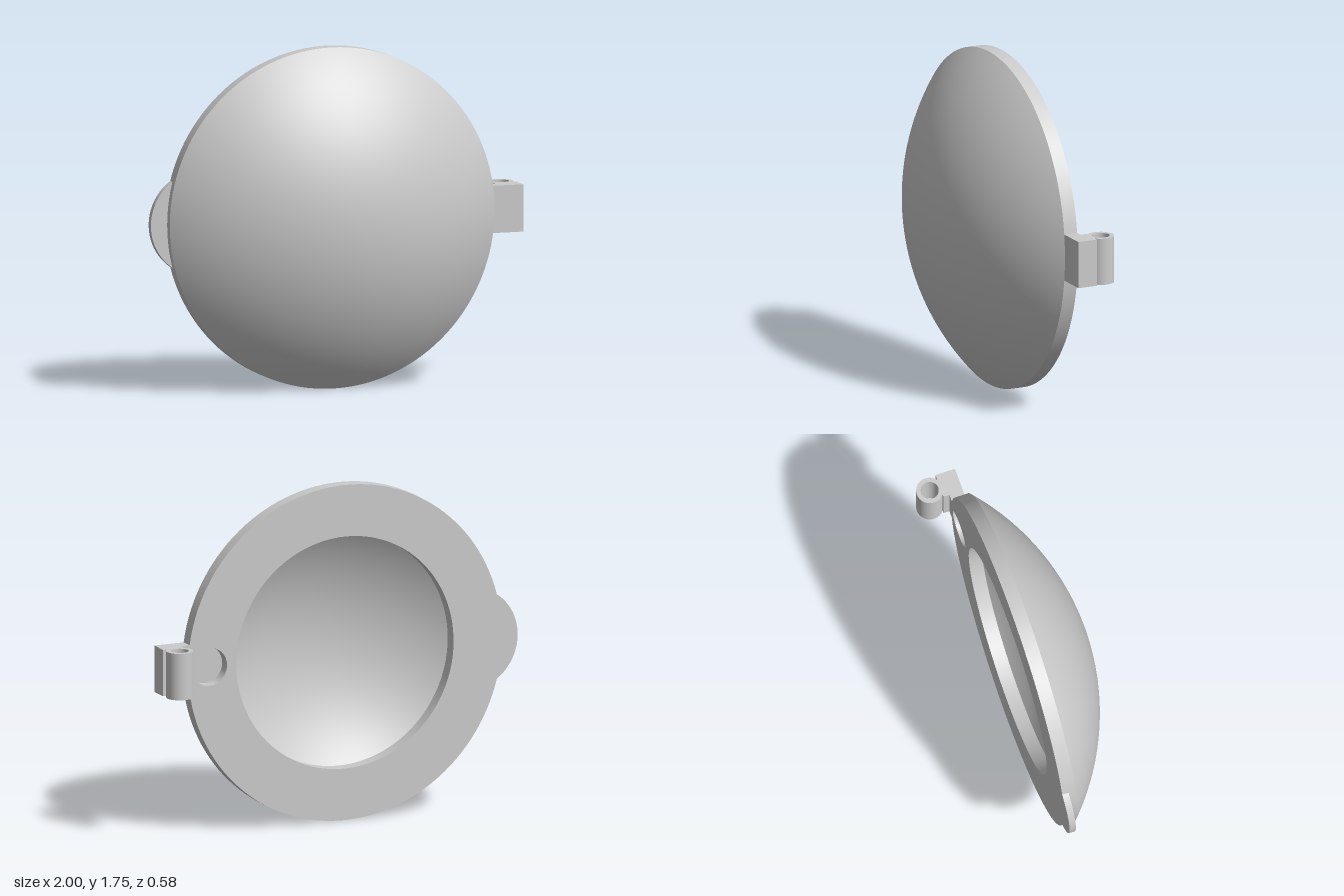
import * as THREE from 'three';

const CX = -0.035, CY = 0.877;          // disc centre
const R = 0.877, BOWL_R = 0.607;        // outer and cavity radius
const BACK = -0.135, RIM = -0.062;      // z of back face and rim front edge
const SPHERE_Z = -0.989;                // shared centre of both domes
const PIN = { x: 0.757, r: 0.098, floor: -0.075 };
const HINGE_Y = 0.879, HINGE_H = 0.243;

const material = new THREE.MeshStandardMaterial({ color: 0xcccccc });

function add(parent, name, geometry) {
  const mesh = new THREE.Mesh(geometry, material);
  mesh.name = name;
  parent.add(mesh);
  return mesh;
}

// Surface of revolution about the z axis; points are [radius, z]
function revolve(points, segments = 128) {
  const pts = points.map(([r, z]) => new THREE.Vector2(r, z));
  return new THREE.LatheGeometry(pts, segments).rotateX(Math.PI / 2);
}

// Spherical profile from the given edge radius to the axis
function domeProfile(edgeR, edgeZ, steps = 32) {
  const h = edgeZ - SPHERE_Z, radius = Math.hypot(edgeR, h);
  const start = Math.atan2(edgeR, h);
  return Array.from({ length: steps + 1 }, (_, i) => {
    const a = start * (1 - i / steps);
    return [radius * Math.sin(a), SPHERE_Z + radius * Math.cos(a)];
  });
}

function box(x0, x1, z0, z1) {
  return new THREE.BoxGeometry(x1 - x0, HINGE_H, z1 - z0)
    .translate((x0 + x1) / 2, HINGE_Y, (z0 + z1) / 2);
}

function circlePath(x, r) {
  return new THREE.Path().absarc(x, 0, r, 0, Math.PI * 2, true);
}

export function createModel() {
  const model = new THREE.Group();
  model.name = 'domedLid';

  // Shell: outer dome, rim, hollow bowl
  const lid = new THREE.Group();
  lid.name = 'lid';
  lid.position.set(CX, CY, 0);
  model.add(lid);
  add(lid, 'outerDome', revolve(domeProfile(R, RIM)));
  add(lid, 'rim', revolve([[R, BACK], [R, RIM]]));
  add(lid, 'innerBowl', revolve(domeProfile(BOWL_R, RIM).reverse()));
  add(lid, 'bowlWall', revolve([[BOWL_R, RIM], [BOWL_R, BACK]]));

  // Flat back face with the bowl opening and the round recess
  const face = new THREE.Shape().absarc(0, 0, R, 0, Math.PI * 2, false);
  face.holes.push(circlePath(0, BOWL_R), circlePath(-PIN.x, PIN.r));
  add(lid, 'backFace', new THREE.ShapeGeometry(face, 64).rotateY(Math.PI).translate(0, 0, BACK));

  // Blind recess beside the hinge
  add(lid, 'recessWall', revolve([[PIN.r, PIN.floor], [PIN.r, BACK]], 48).translate(PIN.x, 0, 0));
  add(lid, 'recessFloor', revolve([[0, PIN.floor], [PIN.r, PIN.floor]], 48).translate(PIN.x, 0, 0));

  // Thin rounded finger tab
  const tab = new THREE.Shape().absarc(0, 0, 0.268, Math.PI - 1.05, Math.PI + 1.05, false);
  tab.closePath();
  add(model, 'fingerTab', new THREE.ExtrudeGeometry(tab, {
    depth: 0.034, bevelEnabled: false, curveSegments: 40,
  }).translate(-0.732, CY, BACK));

  // Hinge: plate, block and hollow knuckle
  const hinge = new THREE.Group();
  hinge.name = 'hinge';
  model.add(hinge);
  add(hinge, 'hingePlate', box(0.825, 0.88, BACK, RIM));
  add(hinge, 'hingeBlock', box(0.873, 0.997, -0.167, RIM));
  const ring = new THREE.Shape().absarc(0, 0, 0.069, 0, Math.PI * 2, false);
  ring.holes.push(circlePath(0, 0.046));
  add(hinge, 'hingeKnuckle', new THREE.ExtrudeGeometry(ring, {
    depth: HINGE_H, bevelEnabled: false, curveSegments: 48,
  }).rotateX(-Math.PI / 2).translate(0.928, HINGE_Y - HINGE_H / 2, -0.222));

  return model;
}
